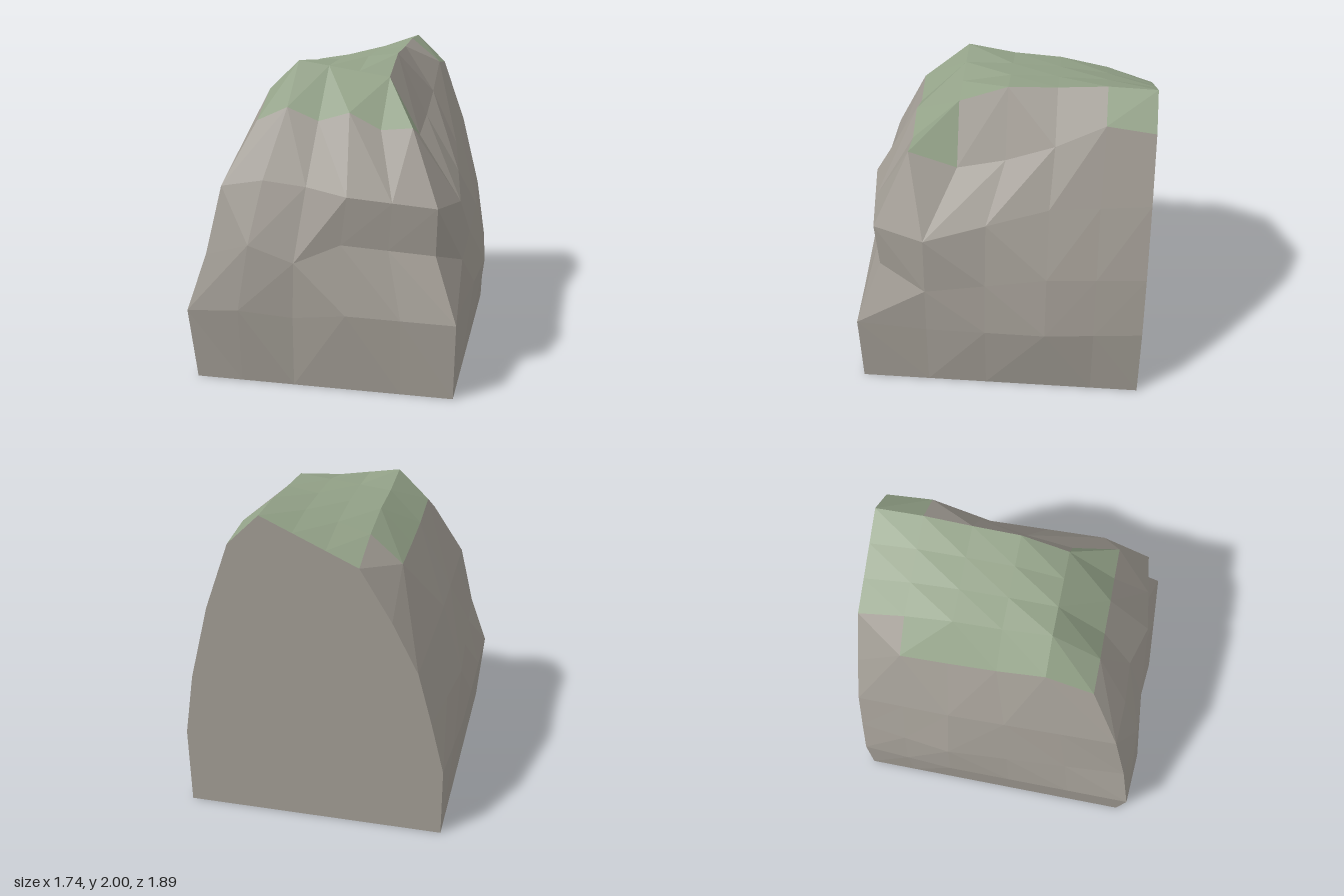
import * as THREE from 'three';

const BACK = -0.95;
const MIDDLE = -0.33;
const NOTCH = 0.44;
const CENTRE = new THREE.Vector3(0, 0.6, -0.3);
const { lerp, clamp } = THREE.MathUtils;

// Wall contours: flank points are [x, y] at fixed depths, corners [x, y, z],
// and the face between the corners [y, z] at even spacing
const contours = [
  {
    left: [[-0.83, 0.44], [-0.87, 0.46]], leftCorner: [-0.87, 0.46, 0.92],
    face: [[0.49, 0.94], [0.45, 0.89], [0.5, 0.92]],
    rightCorner: [0.81, 0.48, 0.89], right: [[0.8, 0.44], [0.87, 0.5], [0.81, 0.5]],
  },
  {
    left: [[-0.75, 0.76], [-0.84, 0.82]], leftCorner: [-0.76, 0.81, 0.85],
    face: [[0.9, 0.89], [0.8, 0.88], [0.92, 0.83]],
    rightCorner: [0.66, 0.86, 0.74], right: [[0.79, 0.75], [0.8, 0.9], [0.75, 0.9]],
  },
  {
    left: [[-0.66, 1.09], [-0.71, 1.26]], leftCorner: [-0.68, 1.23, 0.75],
    face: [[1.28, 0.76], [1.25, 0.75], [1.22, 0.83]],
    rightCorner: [0.67, 1.16, 0.76], right: [[0.77, 1.13], [0.65, 1.33], [0.63, 1.38]],
  },
];

// Summit heights from back to front: left rim, left ridge, right ridge, right rim
const summitProfile = [
  [1.4, 1.72, 1.99, 1.8],
  [1.65, 1.82, 2.0, 1.84],
  [1.67, 1.88, 1.98, 1.68],
  [1.7, 1.9, 1.97, 1.57],
  [1.76, 1.95, 1.86, 1.5],
];
const summitLip = [1.61, 1.7, 1.62, 1.68, 1.58, 1.6];

// Straight runs of facets between key points; counts gives the facets per run
function subdivide(keys, counts) {
  const points = [keys[0]];
  counts.forEach((n, k) => {
    for (let i = 1; i <= n; i++) points.push(keys[k].clone().lerp(keys[k + 1], i / n));
  });
  return points;
}

// Sixteen points: left flank, face, right flank
function contourPoints({ left, leftCorner, face, rightCorner, right }) {
  const flank = (pairs, depths) => pairs.map(([x, y], i) => new THREE.Vector3(x, y, depths[i]));
  const keys = [
    ...flank(left, [BACK, MIDDLE]),
    new THREE.Vector3(...leftCorner),
    ...face.map(([y, z], i) => new THREE.Vector3(lerp(leftCorner[0], rightCorner[0], (i + 1) / 5), y, z)),
    new THREE.Vector3(...rightCorner),
    ...flank(right, [NOTCH, MIDDLE, BACK]),
  ];
  return subdivide(keys, [2, 3, 1, 1, 1, 2, 1, 2, 2]);
}

// Two triangles, folded along the diagonal that bulges outward
function addQuad(list, a, b, c, d) {
  const reach = (p, q) => p.clone().add(q).multiplyScalar(0.5).distanceTo(CENTRE);
  if (reach(a, c) >= reach(b, d)) list.push(a, b, c, a, c, d);
  else list.push(a, b, d, b, c, d);
}

function makeMesh(name, points, material) {
  const geometry = new THREE.BufferGeometry().setFromPoints(points);
  geometry.computeVertexNormals();
  const mesh = new THREE.Mesh(geometry, material);
  mesh.name = name;
  return mesh;
}

function makeMaterial(name, color) {
  const material = new THREE.MeshStandardMaterial({ color, side: THREE.DoubleSide, flatShading: true });
  material.name = name;
  return material;
}

export function createModel() {
  const stone = makeMaterial('stone grey', 0xa09b93);
  const moss = makeMaterial('moss green', 0x93a288);

  // Summit grid, sloping evenly from ridge to ridge
  const heights = summitProfile.map(([rimL, ridgeL, ridgeR, rimR]) =>
    [rimL, ridgeL, lerp(ridgeL, ridgeR, 1 / 3), lerp(ridgeL, ridgeR, 2 / 3), ridgeR, rimR]);
  const summit = [...heights, summitLip].map((row, j) =>
    row.map((y, i) => new THREE.Vector3(lerp(-0.5, 0.48, i / 5), y, BACK + 0.3 * j)));

  // Contours from the straight-sided foot to the summit border
  const rings = contours.map(contourPoints);
  const foot = rings[0].map((p) => new THREE.Vector3(clamp(p.x, -0.83, 0.8), 0, Math.min(p.z, 0.88)));
  const rows = summit.slice(0, 5);
  const border = [...rows.map((row) => row[0]), ...summit[5], ...rows.map((row) => row[5]).reverse()];
  rings.unshift(foot);
  rings.push(border);

  // Rock walls, open underneath
  const walls = [];
  for (let r = 0; r < rings.length - 1; r++) {
    const low = rings[r], high = rings[r + 1];
    for (let i = 0; i < low.length - 1; i++) addQuad(walls, low[i], low[i + 1], high[i + 1], high[i]);
  }

  // Summit cells: moss, with bare stone along parts of both edges
  const mossCells = [], bareCells = [];
  for (let j = 0; j < 5; j++) {
    for (let i = 0; i < 5; i++) {
      const bare = (i === 0 && j === 0) || (i === 4 && j > 0 && j < 4);
      addQuad(bare ? bareCells : mossCells,
        summit[j + 1][i], summit[j + 1][i + 1], summit[j][i + 1], summit[j][i]);
    }
  }

  // Flat back: a fan filling the outline, facing -z
  const outline = [
    ...rings.map((ring) => ring[15]),
    ...summit[0].slice(1, 5).reverse(),
    ...rings.map((ring) => ring[0]).reverse(),
  ];
  const hub = new THREE.Vector3(0, 0.7, BACK);
  const back = outline.flatMap((p, i) => [hub, outline[(i + 1) % outline.length], p]);

  const group = new THREE.Group();
  group.name = 'mossyRock';
  group.add(
    makeMesh('rockWalls', walls, stone),
    makeMesh('bareSummitEdges', bareCells, stone),
    makeMesh('mossCap', mossCells, moss),
    makeMesh('flatBack', back, stone),
  );
  return group;
}
